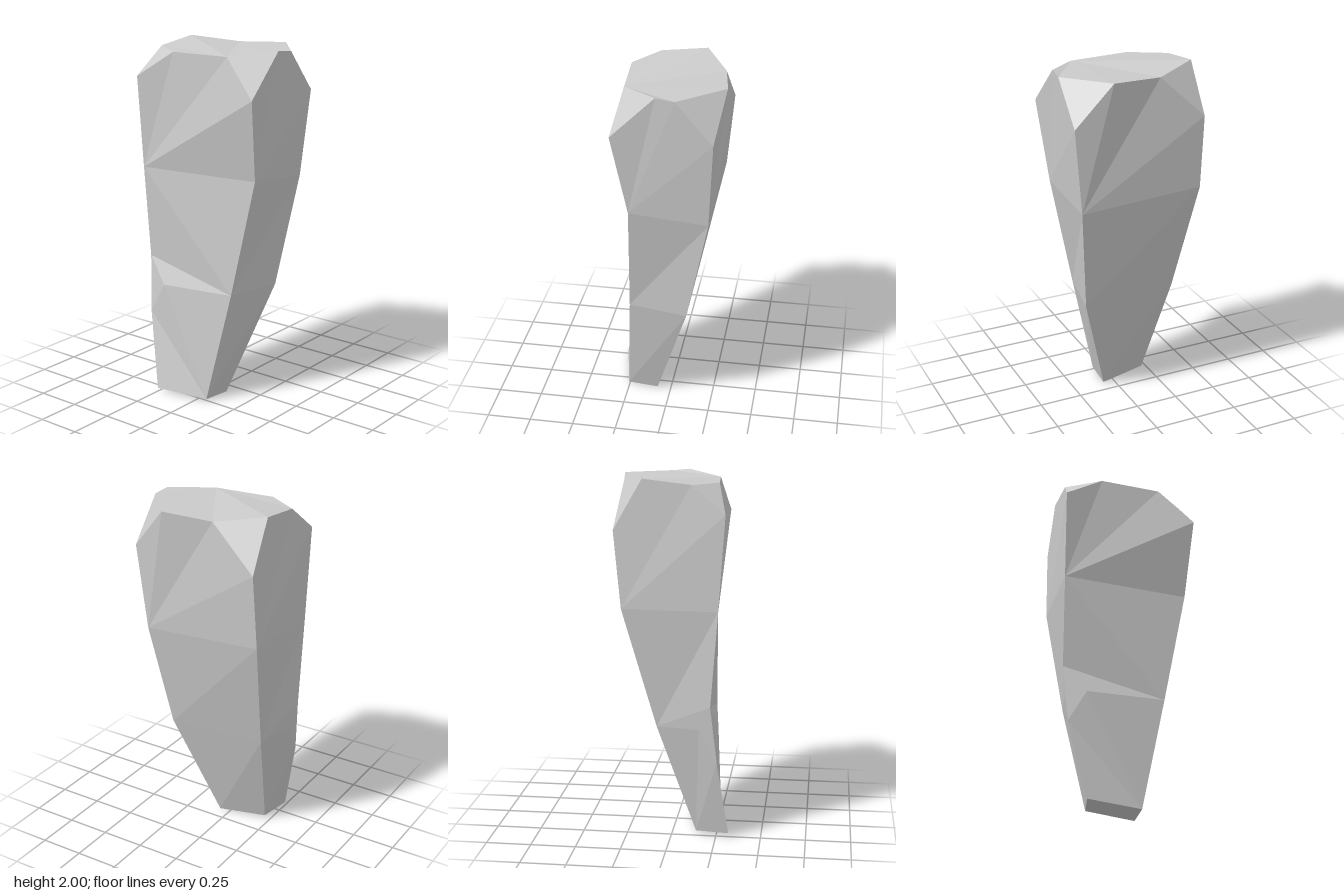
import * as THREE from 'three';

// Four corner edges of the shard, anticlockwise seen from above.
// ring: points from the base up to the shoulder;
// pre / post: rim points of the cut corner, on the side before / after it;
// chip: optional notch that replaces the second ring point.
const corners = [
  { // front, -x
    ring: [[-0.255, 0.01, 0.057], [-0.213, 0.65, 0.2], [-0.185, 1.31, 0.338], [-0.27, 1.76, 0.377]],
    pre: [-0.225, 1.965, 0.18], post: [-0.03, 1.99, 0.37],
  },
  { // front, +x
    ring: [[-0.08, 0, 0.065], [0.12, 0.645, 0.26], [0.245, 1.265, 0.33], [0.27, 1.75, 0.377]],
    pre: [0.072, 1.98, 0.38], post: [0.315, 1.985, 0.175],
  },
  { // back, +x
    ring: [[-0.135, 0.015, -0.215], [0.075, 0.645, -0.3], [0.255, 1.31, -0.37], [0.295, 1.73, -0.365]],
    pre: [0.273, 1.97, -0.11], post: [0.14, 2, -0.358],
  },
  { // back, -x
    ring: [[-0.32, 0.02, -0.25], null, [-0.265, 1.305, -0.375], [-0.3, 1.82, -0.382]],
    pre: [-0.12, 1.97, -0.356], post: [-0.25, 1.965, -0.165],
    chip: {
      lower: [-0.26, 0.46, -0.342], upper: [-0.225, 0.78, -0.368],
      pre: [-0.16, 0.645, -0.343], post: [-0.26, 0.635, -0.243],
    },
  },
];

// Points of one corner edge between two levels, from below to above.
function edge(corner, level, side) {
  const { ring, chip } = corner;
  if (chip && level === 0) return [ring[0], chip.lower, chip[side]];
  if (chip && level === 1) return [chip[side], chip.upper, ring[2]];
  return [ring[level], ring[level + 1]];
}

export function createModel() {
  const positions = [];
  const addFace = (points) => {
    for (let i = 1; i < points.length - 1; i++) {
      positions.push(...points[0], ...points[i], ...points[i + 1]);
    }
  };

  corners.forEach((a, i) => {
    const b = corners[(i + 1) % corners.length];

    // two lower bands and the shoulder band of this side
    for (let level = 0; level < 2; level++) {
      const left = edge(a, level, 'post');
      const right = edge(b, level, 'pre');
      // start the fan on the plain edge so that a notch stays clean
      addFace(a.chip ? [...right, ...left.reverse()] : [left[0], ...right, ...left.slice(1).reverse()]);
    }
    addFace([a.ring[2], b.ring[2], b.ring[3], b.pre, a.post, a.ring[3]]);

    // cut corner at the top, and the notch
    addFace([a.ring[3], a.post, a.pre]);
    if (a.chip) addFace([a.chip.lower, a.chip.post, a.chip.upper, a.chip.pre]);
  });

  // top and base
  addFace(corners.flatMap((c) => [c.pre, c.post]));
  addFace(corners.map((c) => c.ring[0]).reverse());

  const geometry = new THREE.BufferGeometry();
  geometry.setAttribute('position', new THREE.Float32BufferAttribute(positions, 3));
  geometry.computeVertexNormals();

  const rock = new THREE.Mesh(
    geometry,
    new THREE.MeshStandardMaterial({ color: 0xcccccc, flatShading: true }),
  );
  rock.name = 'rockShard';

  const group = new THREE.Group();
  group.name = 'rock';
  group.add(rock);
  return group;
}
